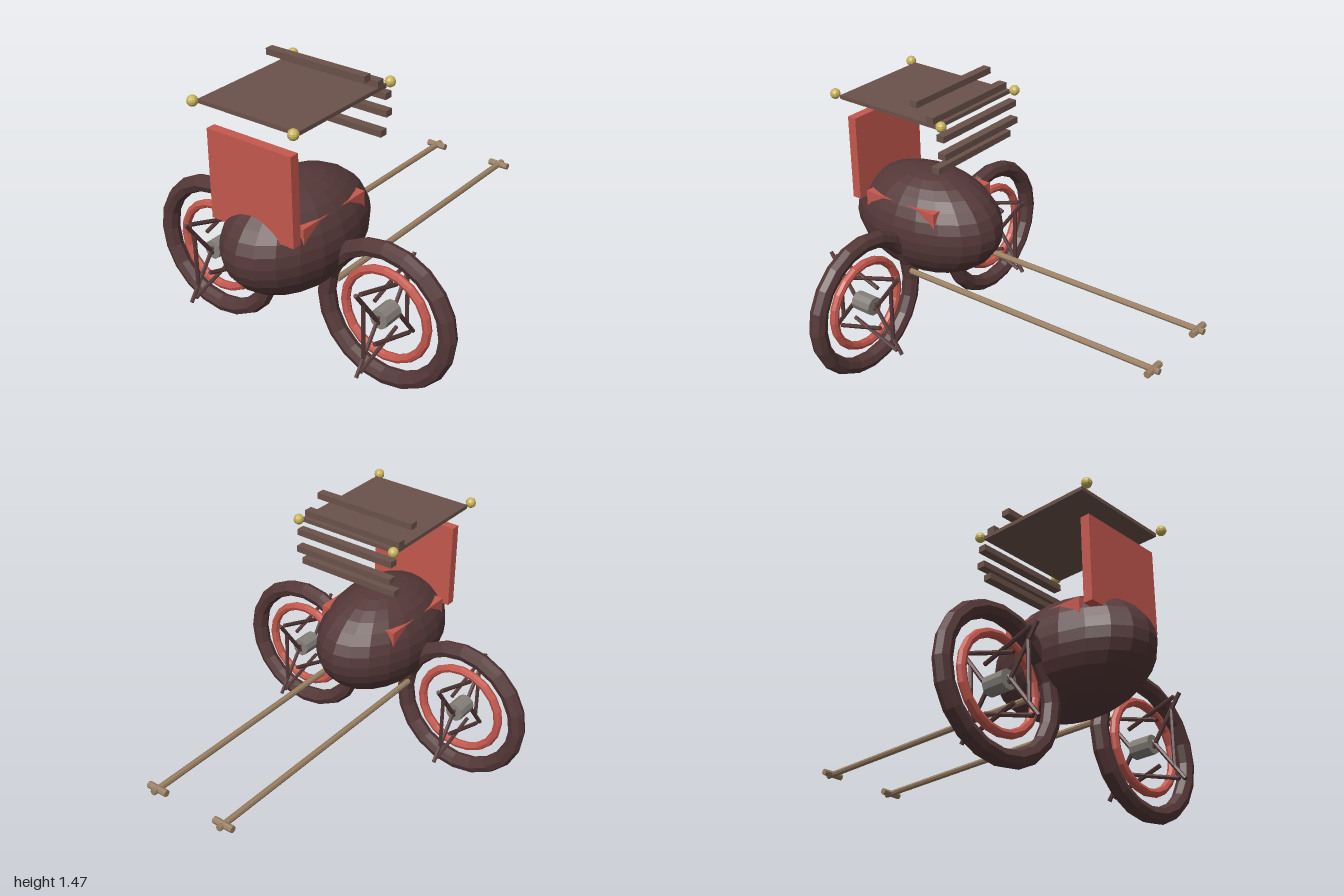
import * as THREE from 'three';

const mat = (color) => new THREE.MeshStandardMaterial({ color, flatShading: true });
const DARK = mat(0x553838), RED = mat(0xc4584e), CANOPY = mat(0x6b524a);
const WOOD = mat(0x9a8064), BRASS = mat(0xc8b35a), METAL = mat(0x85807a);

const CX = -0.555; // middle of the carriage along x

function add(parent, name, geometry, material, x = 0, y = 0, z = 0) {
  const mesh = new THREE.Mesh(geometry, material);
  mesh.name = name;
  mesh.position.set(x, y, z);
  parent.add(mesh);
  return mesh;
}

function makeWheel(name, z) {
  const wheel = new THREE.Group();
  wheel.name = name;
  wheel.position.set(CX, 0.395, z);
  add(wheel, 'tyre', new THREE.TorusGeometry(0.345, 0.045, 8, 20).rotateY(Math.PI / 2), DARK);
  add(wheel, 'rim', new THREE.TorusGeometry(0.233, 0.023, 8, 20).rotateY(Math.PI / 2), RED);
  add(wheel, 'hub', new THREE.CylinderGeometry(0.05, 0.05, 0.115, 10).rotateZ(Math.PI / 2), METAL);
  // ten spokes standing across the wheel, each turned against its own angle
  const spokeGeometry = new THREE.CylinderGeometry(0.011, 0.011, 0.3, 6);
  for (let i = 0; i < 10; i++) {
    const a = (i / 10) * Math.PI * 2;
    const spoke = add(wheel, 'spoke', spokeGeometry, DARK, 0.175 * Math.cos(a), 0.175 * Math.sin(a), 0);
    spoke.rotation.z = -a;
  }
  return wheel;
}

export function createModel() {
  const model = new THREE.Group();
  model.name = 'handCart';

  // egg-shaped body with the seat cushion poking through
  add(model, 'body', new THREE.SphereGeometry(1, 20, 16).scale(0.442, 0.29, 0.29), DARK, -0.558, 0.685, 0);
  add(model, 'seat', new THREE.BoxGeometry(0.455, 0.1, 0.46), RED, -0.558, 0.805, 0);
  add(model, 'seatBack', new THREE.BoxGeometry(0.05, 0.455, 0.485), RED, -0.847, 1.028, 0);

  // canopy roof, folding slats and corner knobs
  add(model, 'canopyRoof', new THREE.BoxGeometry(0.635, 0.02, 0.573), CANOPY, CX, 1.376, 0);
  const slats = [[-0.384, 1.461], [-0.284, 1.403], [-0.222, 1.322], [-0.215, 1.231], [-0.258, 1.145]];
  for (const [x, y] of slats) {
    add(model, 'canopySlat', new THREE.BoxGeometry(0.045, 0.033, 0.573), CANOPY, x, y, 0);
  }
  for (const x of [-0.903, -0.212]) {
    for (const z of [-0.288, 0.288]) {
      add(model, 'cornerKnob', new THREE.SphereGeometry(0.027, 10, 8), BRASS, x, 1.388, z);
    }
  }

  // wheels, pulling shafts and hand grips on both sides
  for (const side of [1, -1]) {
    model.add(makeWheel(side > 0 ? 'frontWheel' : 'rearWheel', side * 0.518));
    add(model, 'shaft', new THREE.CylinderGeometry(0.016, 0.016, 1.52, 8).rotateZ(Math.PI / 2), WOOD,
      0.24, 0.453, side * 0.208);
    add(model, 'handGrip', new THREE.CylinderGeometry(0.018, 0.018, 0.115, 8).rotateX(Math.PI / 2), WOOD,
      0.965, 0.453, side * 0.208);
  }
  return model;
}
